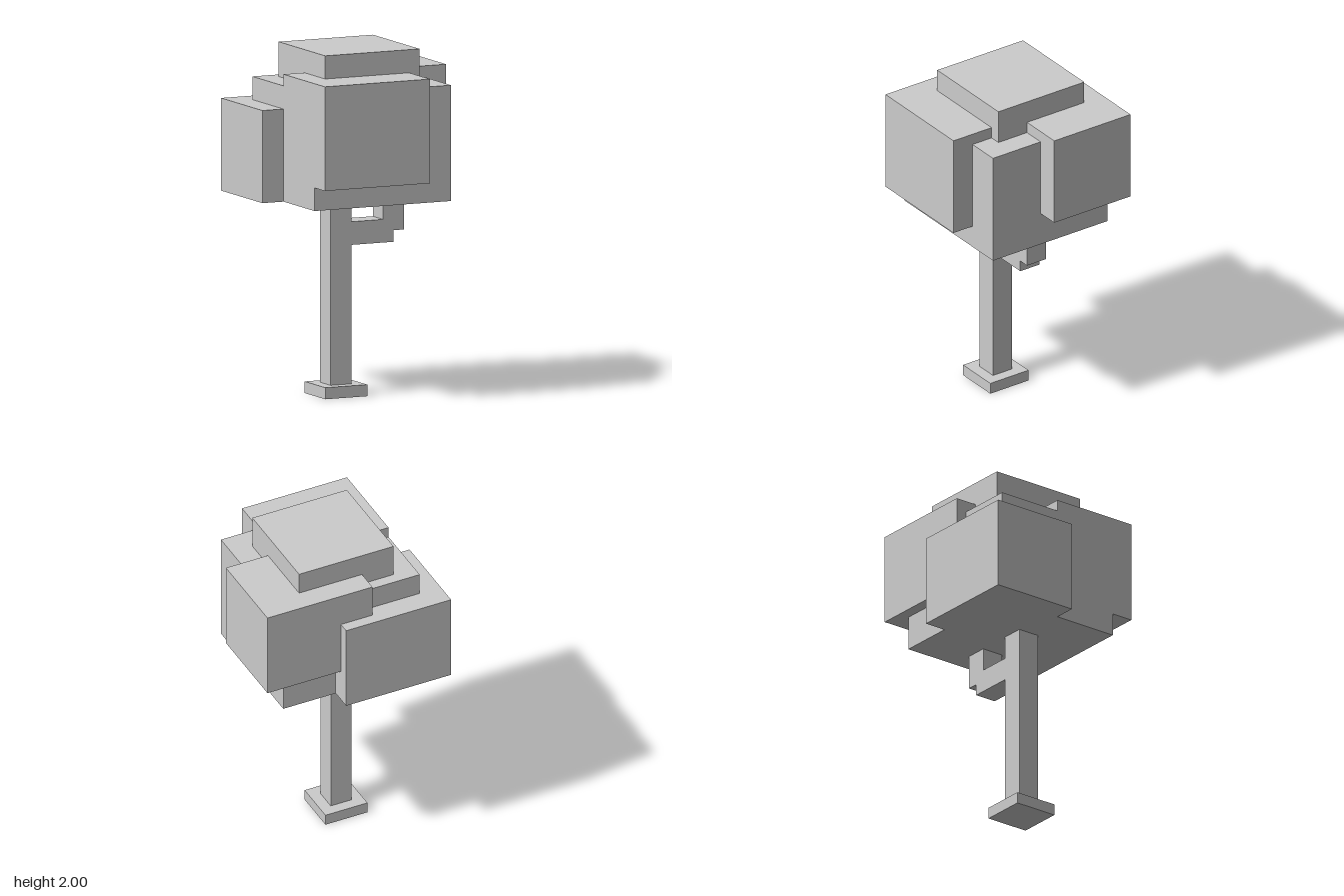
import * as THREE from 'three';

const UNIT = 1 / 15; // the tree is laid out on a block grid, 30 blocks tall

// name, [x min, x max], [y min, y max], [z min, z max] in blocks
const PARTS = [
  ['base', [-3.5, 0.5], [0, 1], [-2, 2]],
  ['trunk', [-2.5, -0.5], [1, 17], [-1, 1]],
  ['branch', [-0.5, 3.5], [13, 15], [-1, 1]],
  ['branchTip', [2.5, 4.5], [14, 17], [-1, 1]],
  ['mainFoliage', [-6.5, 6.5], [17, 27], [-6, 6]],
  ['topFoliage', [-4.5, 4.5], [27, 30], [-5, 4]],
  ['frontFoliage', [-6.5, 3.5], [19, 28], [0, 8]],
  ['leftFoliage', [-1.5, 8.5], [20, 28], [-7, 1]],
  ['backRightFoliage', [-8.5, 1.5], [17, 25], [-8, 0]],
];

export function createModel() {
  const tree = new THREE.Group();
  tree.name = 'blockTree';
  const material = new THREE.MeshStandardMaterial({ color: 0xcccccc, flatShading: true });

  for (const [name, ...ranges] of PARTS) {
    const size = ranges.map(([a, b]) => (b - a) * UNIT);
    const center = ranges.map(([a, b]) => ((a + b) / 2) * UNIT);
    const mesh = new THREE.Mesh(new THREE.BoxGeometry(...size), material);
    mesh.name = name;
    mesh.position.set(...center);
    tree.add(mesh);
  }
  return tree;
}
